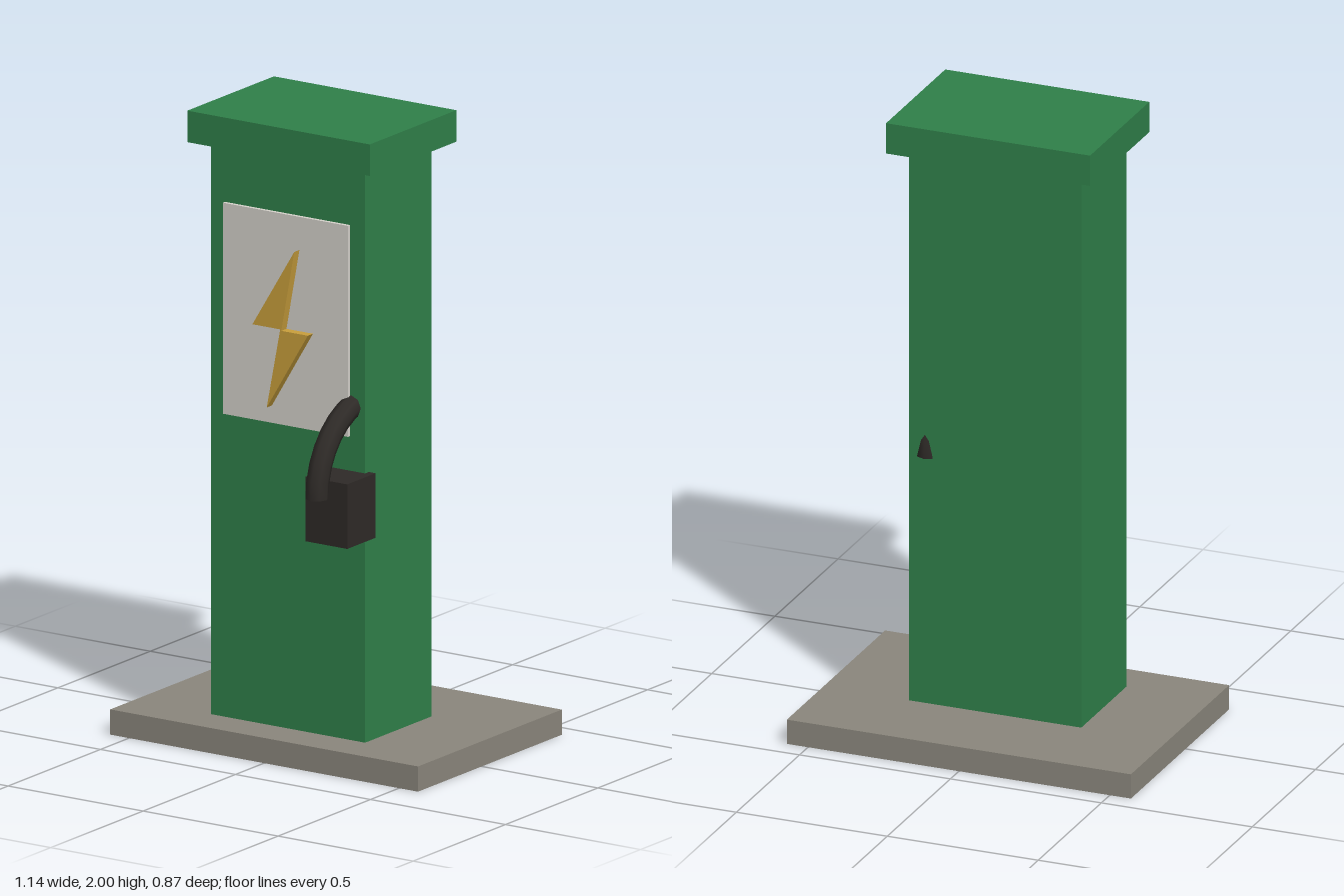
import * as THREE from 'three';

const material = (color, extra = {}) => new THREE.MeshStandardMaterial({ color, ...extra });

export function createModel() {
  const group = new THREE.Group();
  const green = material(0x2f7f49);
  const stone = material(0x8a867c);
  const dark = material(0x2e2a27);

  const add = (name, geometry, mat) => {
    const mesh = new THREE.Mesh(geometry, mat);
    mesh.name = name;
    group.add(mesh);
    return mesh;
  };

  // Box given by its extents along each axis
  const box = (name, [x0, x1], [y0, y1], [z0, z1], mat) =>
    add(name, new THREE.BoxGeometry(x1 - x0, y1 - y0, z1 - z0), mat)
      .position.set((x0 + x1) / 2, (y0 + y1) / 2, (z0 + z1) / 2);

  // Plinth, column and cap
  box('base', [-0.57, 0.57], [0, 0.08], [-0.433, 0.345], stone);
  box('column', [-0.285, 0.285], [0.08, 1.9], [-0.145, 0.215], green);
  box('cap', [-0.338, 0.338], [1.9, 2], [-0.202, 0.267], green);

  // Display panel and plug holder
  box('panel', [-0.233, 0.23], [1.045, 1.715], [0.205, 0.227], material(0xd4d1ca));
  box('plugHolder', [0.155, 0.31], [0.73, 0.935], [0.195, 0.348], dark);

  // Raised lightning bolt on the panel
  const bolt = new THREE.Shape([
    [0.05, 1.61], [-0.105, 1.356], [-0.002, 1.356],
    [-0.052, 1.1], [0.1, 1.352], [0.002, 1.352],
  ].map(([x, y]) => new THREE.Vector2(x, y)));
  add('bolt', new THREE.ExtrudeGeometry(bolt, { depth: 0.03, bevelEnabled: false }), material(0xc99f3c))
    .position.z = 0.225;

  // Half-ring cable, open at both ends, passing through the column
  const cable = add('cable', new THREE.TorusGeometry(0.26, 0.036, 8, 16, Math.PI),
    material(0x2e2a27, { side: THREE.DoubleSide }));
  cable.rotation.y = Math.PI / 2;
  cable.position.set(0.233, 0.89, 0.14);

  return group;
}
